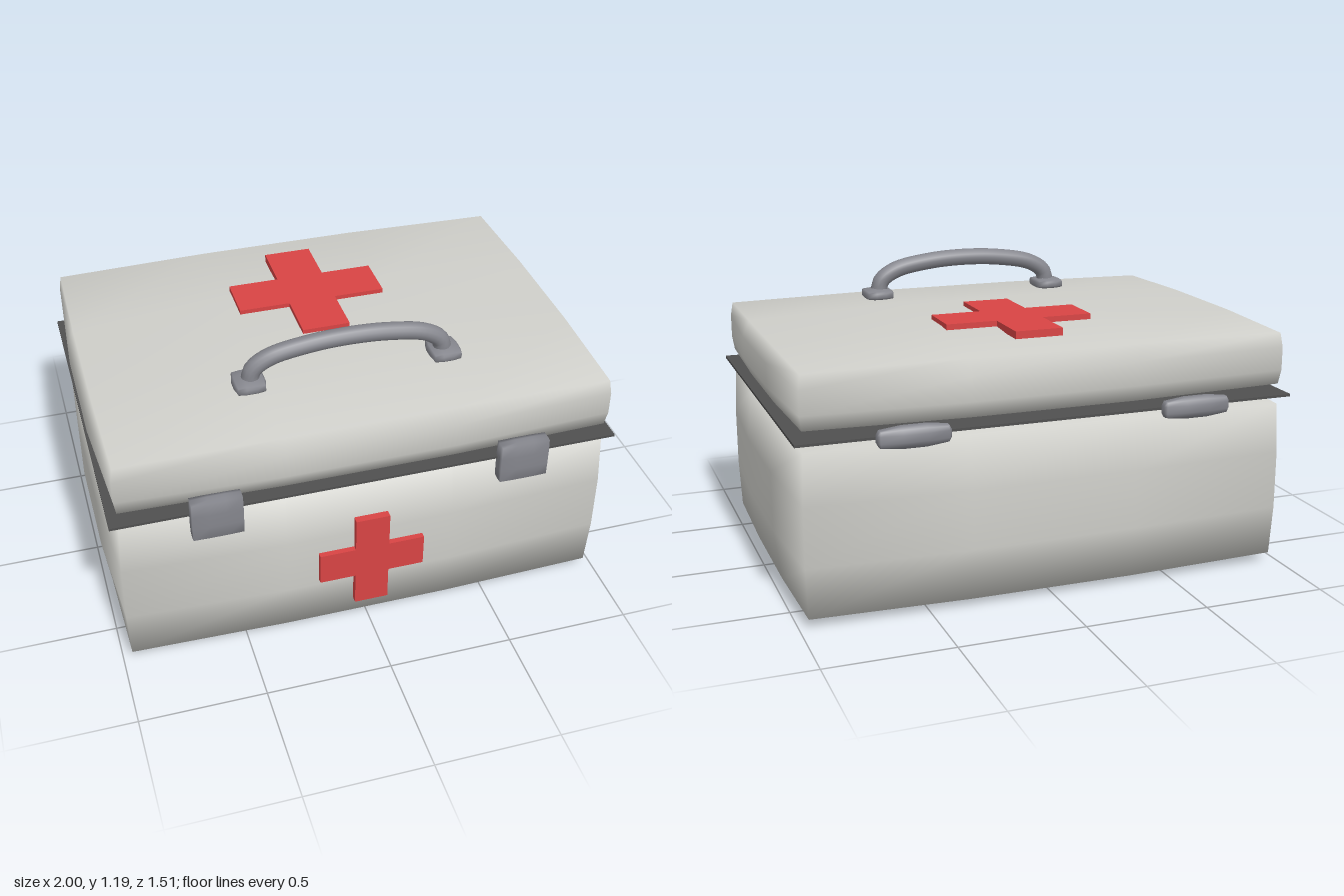
import * as THREE from 'three';
import { mergeVertices } from 'three/addons/utils/BufferGeometryUtils.js';

const mat = (name, color, side = THREE.FrontSide) => {
  const m = new THREE.MeshStandardMaterial({ color, side });
  m.name = name;
  return m;
};

// Soft box: three cells per side, pulled in along its edges and corners, smooth all over.
function softBox(w, h, d, drop) {
  let g = new THREE.BoxGeometry(w, h, d, 3, 3, 3);
  g.deleteAttribute('uv');
  g.deleteAttribute('normal');
  g = mergeVertices(g);
  const p = g.attributes.position;
  const half = [w / 2, h / 2, d / 2];
  for (let i = 0; i < p.count; i++) {
    const c = [p.getX(i), p.getY(i), p.getZ(i)];
    const outer = c.map((v, k) => Math.abs(v) > half[k] - 1e-4);
    const n = outer.filter(Boolean).length;
    const pull = drop * [0, 0, 1, 1.3][n];
    p.setXYZ(i, ...c.map((v, k) => (outer[k] ? v - Math.sign(v) * pull : v)));
  }
  g.computeVertexNormals();
  return g;
}

// Plus-shaped plate, arm half-length r, half-width a, thickness t.
function crossPlate(r, a, t) {
  const s = new THREE.Shape([
    [a, r], [-a, r], [-a, a], [-r, a], [-r, -a], [-a, -a],
    [-a, -r], [a, -r], [a, -a], [r, -a], [r, a], [a, a],
  ].map(([x, y]) => new THREE.Vector2(x, y)));
  return new THREE.ExtrudeGeometry(s, { depth: t, bevelEnabled: false });
}

export function createModel() {
  const group = new THREE.Group();
  const shell = mat('shellGrey', 0xcfcfca);
  const metal = mat('metalGrey', 0x85868d);
  const seamDark = mat('seamDark', 0x505050);
  const red = mat('crossRed', 0xd84444);

  const add = (name, geometry, material, x, y, z) => {
    const m = new THREE.Mesh(geometry, material);
    m.name = name;
    m.position.set(x, y, z);
    group.add(m);
    return m;
  };

  // Case and lid with the seam plate between them
  add('case', softBox(2, 0.71, 1.42, 0.028), shell, 0, 0.355, 0.006);
  add('lid', softBox(2, 0.28, 1.42, 0.028), shell, 0, 0.86, 0.006);
  add('seam', new THREE.BoxGeometry(2, 0.01, 1.42), seamDark, 0, 0.715, 0.004);

  // Red crosses on the front and the lid
  add('frontCross', crossPlate(0.212, 0.068, 0.03), red, 0, 0.332, 0.709);
  add('lidCross', crossPlate(0.304, 0.097, 0.03), red, 0, 0.988, -0.21).rotation.x = -Math.PI / 2;

  // Latches, hinges and handle feet on both sides
  for (const [side, s] of [['left', 1], ['right', -1]]) {
    add(side + 'Latch', softBox(0.2, 0.172, 0.06, 0.003), metal, s * 0.605, 0.701, 0.724);
    add(side + 'Hinge', softBox(0.28, 0.084, 0.066, 0.01), metal, s * 0.567, 0.715, -0.722);
    add(side + 'HandleFoot', softBox(0.124, 0.05, 0.136, 0.008), metal, s * 0.39, 1.021, 0.378);
  }

  // Arched handle
  const arch = [
    [-0.385, 1.03], [-0.373, 1.075], [-0.31, 1.118], [-0.16, 1.148], [0, 1.157],
    [0.16, 1.148], [0.31, 1.118], [0.373, 1.075], [0.385, 1.03],
  ].map(([x, y]) => new THREE.Vector3(x, y, 0));
  add('handle', new THREE.TubeGeometry(new THREE.CatmullRomCurve3(arch), 40, 0.035, 14), metal, 0, 0, 0.378);

  return group;
}
